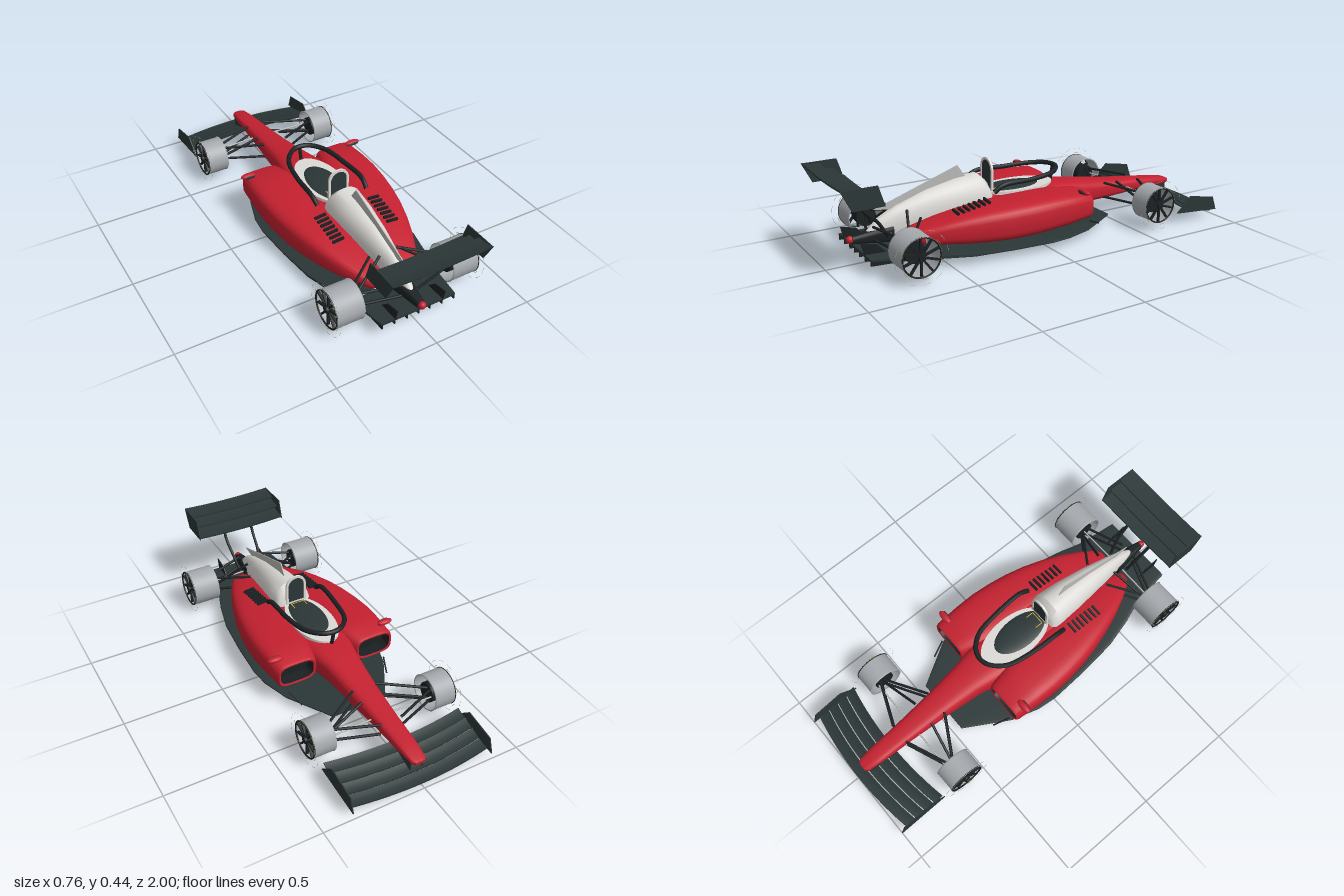
import * as THREE from 'three';
import { toCreasedNormals } from 'three/addons/utils/BufferGeometryUtils.js';

const mat = (name, color, side = THREE.FrontSide) => {
  const m = new THREE.MeshStandardMaterial({ color, side });
  m.name = name;
  return m;
};

// Superellipse skin through sections [z, xMin, xMax, yMin, yMax]
function loft(sections, power = 0.6, capStart = true, capEnd = true, n = 32) {
  const pos = [], idx = [];
  const bend = (v) => Math.sign(v) * Math.pow(Math.abs(v), power);
  for (const [z, x0, x1, y0, y1] of sections)
    for (let j = 0; j < n; j++) {
      const a = (j / n) * Math.PI * 2;
      pos.push((x0 + x1) / 2 + bend(Math.cos(a)) * (x1 - x0) / 2, (y0 + y1) / 2 + bend(Math.sin(a)) * (y1 - y0) / 2, z);
    }
  for (let i = 0; i < sections.length - 1; i++)
    for (let j = 0; j < n; j++) {
      const a = i * n + j, b = i * n + (j + 1) % n;
      idx.push(a, b, a + n, b, b + n, a + n);
    }
  const last = (sections.length - 1) * n;
  for (let j = 1; j < n - 1; j++) {
    if (capStart) idx.push(0, j + 1, j);
    if (capEnd) idx.push(last, last + j, last + j + 1);
  }
  const g = new THREE.BufferGeometry();
  g.setAttribute('position', new THREE.Float32BufferAttribute(pos, 3));
  g.setIndex(idx);
  return toCreasedNormals(g, 0.7);
}

// Wing blade swept and bowed along its span
function blade(half, z0, y0, z1, y1, sweep, bow, t = 0.008) {
  const g = new THREE.BoxGeometry(2 * half, t, 1, 24, 1, 4);
  const p = g.attributes.position;
  for (let i = 0; i < p.count; i++) {
    const k = (p.getX(i) / half) ** 2, u = p.getZ(i) + 0.5;
    p.setY(i, p.getY(i) + y0 + (y1 - y0) * u + bow * k - 0.012 * u * (1 - u));
    p.setZ(i, z0 + (z1 - z0) * u + sweep * k);
  }
  g.computeVertexNormals();
  return g;
}

// Flat plate in the side plane from [z, y] corners
function sidePlate(points, x, t) {
  const shape = new THREE.Shape(points.map(([z, y]) => new THREE.Vector2(-z, y)));
  const g = new THREE.ExtrudeGeometry(shape, { depth: t, bevelEnabled: false });
  return g.rotateY(Math.PI / 2).translate(x - t / 2, 0, 0);
}

function tube(points, r, segments = 1) {
  const v = points.map((p) => new THREE.Vector3(...p));
  const curve = v.length === 2 ? new THREE.LineCurve3(v[0], v[1]) : new THREE.CatmullRomCurve3(v);
  return new THREE.TubeGeometry(curve, segments, r, 8);
}

function archShape(r, base, centre) {
  const s = new THREE.Shape();
  s.moveTo(-r, base);
  s.lineTo(r, base);
  s.lineTo(r, centre);
  s.absarc(0, centre, r, 0, Math.PI, false);
  return s;
}

export function createModel() {
  const car = new THREE.Group();
  car.name = 'racingCar';
  const red = mat('bodyRed', 0xc4202f), white = mat('coverWhite', 0xdcdad6);
  const carbon = mat('carbon', 0x2b3636), black = mat('black', 0x1b2022);
  const rimGrey = mat('rimGrey', 0xa6aaae, THREE.DoubleSide), finGrey = mat('finGrey', 0xb9b9b6);
  const gold = mat('gold', 0xc9a233);
  const add = (name, geometry, material, parent = car) => {
    const m = new THREE.Mesh(geometry, material);
    m.name = name;
    parent.add(m);
    return m;
  };

  // Nose and central tub
  add('noseAndTub', loft([
    [-0.955, -0.022, 0.022, 0.112, 0.128], [-0.94, -0.036, 0.036, 0.105, 0.134],
    [-0.85, -0.045, 0.045, 0.103, 0.15], [-0.7, -0.053, 0.053, 0.1, 0.168],
    [-0.5, -0.068, 0.068, 0.093, 0.193], [-0.3, -0.09, 0.09, 0.095, 0.225],
    [-0.2, -0.11, 0.11, 0.09, 0.238], [0, -0.14, 0.14, 0.075, 0.24], [0.22, -0.14, 0.14, 0.07, 0.235],
  ]), red);

  // Cockpit surround, opening and steering marks
  add('cockpitSurround', new THREE.CylinderGeometry(1, 1, 0.02, 40).scale(0.105, 1, 0.2).translate(0, 0.238, 0.01), white);
  add('cockpitOpening', new THREE.SphereGeometry(1, 32, 16).scale(0.083, 0.018, 0.16).translate(0, 0.242, 0.04), carbon);
  for (const x of [-0.035, 0.035])
    add('cockpitMark', new THREE.BoxGeometry(0.004, 0.004, 0.04).translate(x, 0.255, 0.135), gold);
  add('cockpitMark', new THREE.BoxGeometry(0.07, 0.004, 0.004).translate(0, 0.254, 0.155), gold);

  // Engine cover, fin and air intake hoop
  add('engineCover', loft([
    [0.18, -0.08, 0.08, 0.12, 0.265], [0.2, -0.094, 0.094, 0.1, 0.31], [0.23, -0.095, 0.095, 0.1, 0.338],
    [0.35, -0.085, 0.085, 0.095, 0.328], [0.5, -0.066, 0.066, 0.09, 0.298],
    [0.65, -0.042, 0.042, 0.09, 0.25], [0.74, -0.028, 0.028, 0.09, 0.205], [0.8, -0.016, 0.016, 0.095, 0.15],
  ], 0.9), white);
  add('engineFin', sidePlate([[0.29, 0.33], [0.33, 0.39], [0.76, 0.245], [0.68, 0.235]], 0, 0.005), finGrey);
  const hoop = archShape(0.055, 0.25, 0.35);
  hoop.holes.push(archShape(0.043, 0.26, 0.35));
  add('intakeHoop', new THREE.ExtrudeGeometry(hoop, { depth: 0.01, bevelEnabled: false, curveSegments: 20 }).translate(0, 0, 0.166), white);
  add('intakeOpening', new THREE.ExtrudeGeometry(archShape(0.043, 0.26, 0.35), { depth: 0.006, bevelEnabled: false }).translate(0, 0, 0.168), carbon);

  // Cockpit protection hoop
  add('halo', tube([[-0.135, 0.27, 0.21], [-0.14, 0.3, 0.16], [-0.132, 0.302, 0], [-0.105, 0.308, -0.13], [-0.05, 0.314, -0.195],
    [0, 0.315, -0.21], [0.05, 0.314, -0.195], [0.105, 0.308, -0.13], [0.132, 0.302, 0], [0.14, 0.3, 0.16], [0.135, 0.27, 0.21]], 0.012, 64), black);
  add('haloStrut', tube([[0, 0.312, -0.21], [0, 0.22, -0.19]], 0.009), black);

  // Floor sweeping up into the diffuser
  add('floor', loft([
    [-0.46, 0.145, 0.038, 0.046], [-0.24, 0.275, 0.038, 0.048], [-0.1, 0.318, 0.038, 0.05], [0, 0.328, 0.038, 0.05],
    [0.2, 0.318, 0.04, 0.054], [0.4, 0.298, 0.043, 0.06], [0.55, 0.26, 0.05, 0.072], [0.65, 0.225, 0.06, 0.083], [0.86, 0.195, 0.08, 0.092],
  ].map(([z, w, a, b]) => [z, -w, w, a, b]), 0.25), carbon);
  for (const x of [-0.19, -0.125, -0.06, 0, 0.06, 0.125, 0.19])
    add('diffuserFence', sidePlate([[0.5, 0.04], [0.5, 0.05], [0.86, 0.09], [0.86, 0.06]], x, 0.005), black);
  add('crashStructure', loft([[0.68, -0.045, 0.045, 0.085, 0.17], [0.87, -0.018, 0.018, 0.105, 0.14]], 0.5), black);
  add('rearLight', new THREE.SphereGeometry(0.018, 20, 12).translate(0, 0.125, 0.878), red);

  // Rear wing
  [[0.8, 0.345, 0.89, 0.358], [0.85, 0.385, 0.95, 0.398], [0.91, 0.415, 0.995, 0.428]].forEach(([z0, y0, z1, y1]) =>
    add('rearWingBlade', blade(0.243, z0, y0, z1, y1, 0, 0.008), carbon));

  // Front wing
  [[-1, 0.044, -0.945, 0.056], [-0.94, 0.058, -0.89, 0.073], [-0.885, 0.075, -0.835, 0.091], [-0.83, 0.09, -0.78, 0.106]].forEach(
    ([z0, y0, z1, y1]) => add('frontWingBlade', blade(0.355, z0, y0, z1, y1, 0.035, -0.004), carbon));
  for (const x of [-0.03, 0.03])
    add('frontWingPylon', sidePlate([[-0.93, 0.05], [-0.93, 0.125], [-0.8, 0.13], [-0.8, 0.09]], x, 0.006), carbon);

  for (const s of [-1, 1]) {
    const side = new THREE.Group();
    side.name = s > 0 ? 'leftSide' : 'rightSide';
    car.add(side);
    const put = (name, g, m) => add(name, g, m, side);
    const mirror = (rows) => rows.map(([z, a, b, c, d]) => [z, Math.min(s * a, s * b), Math.max(s * a, s * b), c, d]);

    // Sidepod with recessed inlet
    const inner = [0.125, 0.298, 0.125, 0.222];
    put('sidepod', loft(mirror([
      [-0.24, ...inner], [-0.243, 0.115, 0.308, 0.115, 0.231], [-0.23, 0.105, 0.314, 0.107, 0.238],
      [-0.1, 0.07, 0.322, 0.09, 0.247], [0, 0.06, 0.324, 0.082, 0.247], [0.1, 0.05, 0.317, 0.074, 0.243],
      [0.2, 0.04, 0.303, 0.07, 0.237], [0.3, 0.03, 0.281, 0.071, 0.228], [0.4, 0.03, 0.251, 0.076, 0.213],
      [0.5, 0.03, 0.214, 0.084, 0.192], [0.6, 0.035, 0.166, 0.095, 0.164], [0.66, 0.045, 0.13, 0.102, 0.145], [0.685, 0.06, 0.105, 0.112, 0.13],
    ]), 0.55, false), red);
    put('sidepodInlet', loft(mirror([[-0.18, ...inner], [-0.24, ...inner]]), 0.55, true, false), black);
    for (let i = 0; i < 7; i++)
      put('louver', new THREE.BoxGeometry(0.06, 0.012, 0.01).rotateZ(-s * 0.1).translate(s * 0.147, 0.243 - i * 0.0045, 0.255 + i * 0.027), black);

    // Mirror
    put('mirror', new THREE.SphereGeometry(1, 24, 12).scale(0.04, 0.013, 0.018).translate(s * 0.3, 0.252, -0.19), red);
    put('mirrorGlass', new THREE.SphereGeometry(1, 24, 12).scale(0.028, 0.008, 0.004).translate(s * 0.3, 0.252, -0.174), carbon);
    put('mirrorStalk', tube([[s * 0.285, 0.25, -0.19], [s * 0.25, 0.22, -0.18]], 0.004), black);

    // Wing end plates, wing struts and floor winglets
    put('rearEndPlate', sidePlate([[0.8, 0.342], [0.95, 0.342], [0.998, 0.438], [0.83, 0.438]], s * 0.245, 0.005), carbon);
    put('frontEndPlate', sidePlate([[-0.735, 0.06], [-0.82, 0.138], [-0.975, 0.11], [-1, 0.038]], s * 0.357, 0.005), carbon);
    put('rearWingStrut', tube([[s * 0.08, 0.35, 0.87], [s * 0.08, 0.28, 0.84], [s * 0.074, 0.21, 0.77], [s * 0.06, 0.13, 0.72]], 0.008, 16), black);
    put('diffuserWinglet', sidePlate([[0.75, 0.08], [0.86, 0.085], [0.875, 0.145], [0.8, 0.13]], s * 0.125, 0.005), black);
    put('floorWinglet', tube([[s * 0.235, 0.05, -0.33], [s * 0.265, 0.085, -0.25]], 0.004), black);

    // Suspension arms
    const arms = [
      [[0.05, 0.165, -0.72], [0.27, 0.16, -0.63]], [[0.06, 0.185, -0.49], [0.27, 0.16, -0.61]],
      [[0.05, 0.11, -0.72], [0.27, 0.095, -0.63]], [[0.06, 0.11, -0.49], [0.27, 0.095, -0.61]],
      [[0.06, 0.18, -0.57], [0.27, 0.1, -0.61]],
      [[0.07, 0.19, 0.56], [0.24, 0.165, 0.68]], [[0.04, 0.18, 0.78], [0.24, 0.165, 0.71]],
      [[0.07, 0.13, 0.56], [0.24, 0.095, 0.68]], [[0.04, 0.12, 0.78], [0.24, 0.095, 0.71]],
      [[0.055, 0.235, 0.62], [0.24, 0.105, 0.69]],
    ];
    for (const pair of arms) put('suspensionArm', tube(pair.map(([x, y, z]) => [s * x, y, z]), 0.0065), black);
    for (const z of [-0.645, 0.7]) put('driveRod', tube([[s * 0.05, 0.137, z], [s * 0.27, 0.13, z]], 0.004), finGrey);

    // Wheels: open rim barrel, spokes, hub and outer marking rings
    for (const [name, z, x0, x1, r] of [['frontWheel', -0.608, 0.262, 0.373, 0.091], ['rearWheel', 0.7, 0.234, 0.375, 0.094]]) {
      const wheel = new THREE.Group();
      wheel.name = name;
      wheel.position.set(s * (x0 + x1) / 2, 0.13, z);
      wheel.rotation.y = s > 0 ? 0 : Math.PI;
      side.add(wheel);
      const h = (x1 - x0) / 2;
      const profile = [[r - 0.006, -h], [r, -h], [r - 0.002, -h + 0.006], [r - 0.002, h - 0.006], [r, h], [r - 0.006, h]];
      add('rim', new THREE.LatheGeometry(profile.map((p) => new THREE.Vector2(...p)), 48).rotateZ(-Math.PI / 2), rimGrey, wheel);
      add('rimLip', new THREE.TorusGeometry(r - 0.004, 0.004, 6, 48).rotateY(Math.PI / 2).translate(h - 0.002, 0, 0), black, wheel);
      add('hub', new THREE.CylinderGeometry(0.016, 0.02, 0.03, 20).rotateZ(-Math.PI / 2).translate(h - 0.01, 0, 0), black, wheel);
      add('brakeDrum', new THREE.CylinderGeometry(0.05, 0.05, h * 0.9, 24).rotateZ(-Math.PI / 2).translate(-h * 0.4, 0, 0), black, wheel);
      for (let i = 0; i < 10; i++)
        add('spoke', new THREE.BoxGeometry(0.012, r - 0.015, 0.009).translate(h - 0.012, r / 2 + 0.004, 0).rotateX(i * Math.PI / 5), black, wheel);
      for (let i = 0; i < 12; i++) {
        const dash = (radius, arc, t) => new THREE.TorusGeometry(radius, t, 4, 6, arc).rotateZ(i * Math.PI / 6).rotateY(Math.PI / 2).translate(h, 0, 0);
        add('outerMarking', dash(0.1245, 0.3, 0.0009), finGrey, wheel);
        if (i % 2) add('innerMarking', dash(0.1, 0.25, 0.0011), gold, wheel);
      }
    }
  }
  return car;
}
